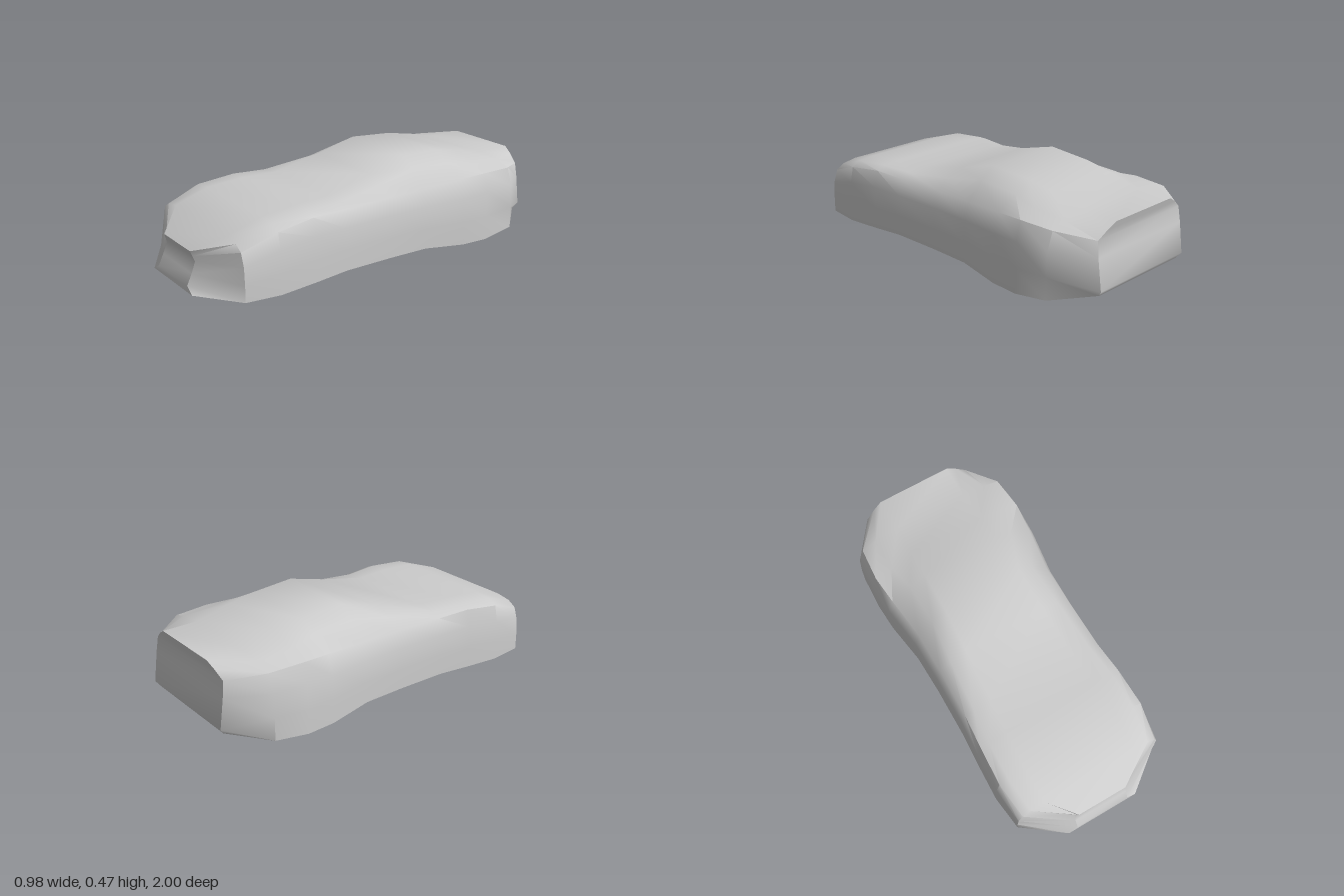
import * as THREE from 'three';
import { toCreasedNormals } from 'three/addons/utils/BufferGeometryUtils.js';

// Cross-sections of half the body, front to rear:
// z, roof edge x/y, window x/y, shoulder x/y, half width, sill y
const SECTIONS = [
  [0.83, 0.26, 0.275, 0.34, 0.262, 0.385, 0.235, 0.412, 0],
  [0.65, 0.265, 0.333, 0.36, 0.325, 0.41, 0.3, 0.433, 0],
  [0.45, 0.255, 0.35, 0.355, 0.345, 0.4, 0.325, 0.425, 0.01],
  [0.27, 0.24, 0.35, 0.335, 0.342, 0.385, 0.32, 0.414, 0.02],
  [0, 0.225, 0.41, 0.315, 0.375, 0.38, 0.325, 0.41, 0.02],
  [-0.22, 0.215, 0.47, 0.295, 0.415, 0.38, 0.325, 0.415, 0.02],
  [-0.45, 0.21, 0.455, 0.3, 0.405, 0.41, 0.345, 0.447, 0],
  [-0.6, 0.205, 0.43, 0.33, 0.385, 0.425, 0.355, 0.455, 0],
  [-0.78, 0.2, 0.39, 0.33, 0.375, 0.41, 0.35, 0.447, 0.025],
];

// End outlines, sill to top, as x, y, z
const NOSE = [
  [0.2, 0, 0.99], [0.15, 0.03, 0.988], [0.15, 0.085, 0.962],
  [0.147, 0.14, 0.94], [0.14, 0.165, 0.948], [0.135, 0.19, 0.957],
];
const TAIL = [
  [0.29, 0.055, -0.955], [0.306, 0.085, -0.978], [0.306, 0.24, -0.957],
  [0.3, 0.32, -0.946], [0.25, 0.36, -0.957], [0.2, 0.39, -0.966],
];

// Half outline from sill to roof edge
function halfRing([z, tx, ty, mx, my, sx, sy, w, by]) {
  const side = (t) => by + (sy - by) * t;
  return [[w, by, z], [w, side(0.35), z], [w - 0.005, side(0.72), z],
    [sx, sy, z], [mx, my, z], [tx, ty, z]];
}

const mirror = ([x, y, z]) => [-x, y, z];

// Surface through rows of points with equal counts
function skin(name, rows, material) {
  const n = rows[0].length;
  const index = [];
  for (let i = 0; i < rows.length - 1; i++) {
    for (let j = 0; j < n - 1; j++) {
      const a = i * n + j, b = a + n;
      index.push(a, b, a + 1, b, b + 1, a + 1);
    }
  }
  const geometry = new THREE.BufferGeometry();
  geometry.setAttribute('position', new THREE.Float32BufferAttribute(rows.flat(2), 3));
  geometry.setIndex(index);
  const mesh = new THREE.Mesh(toCreasedNormals(geometry, 0.9), material);
  mesh.name = name;
  return mesh;
}

export function createModel() {
  const material = new THREE.MeshStandardMaterial({ color: 0xcccccc });
  const halves = [NOSE, ...SECTIONS.map(halfRing), TAIL];

  // Sides, bonnet, cabin and rear deck in one smooth skin
  const shell = halves.map((h) => [...h, ...[...h].reverse().map(mirror)]);
  // Flat closing panels
  const nose = NOSE.map((p) => [p, mirror(p)]);
  const tail = [...TAIL].reverse().map((p) => [p, mirror(p)]);
  const floor = halves.map((h) => [mirror(h[0]), h[0]]);

  const body = new THREE.Group();
  body.name = 'carBody';
  body.add(
    skin('bodyShell', shell, material),
    skin('nosePanel', nose, material),
    skin('tailPanel', tail, material),
    skin('underside', floor, material),
  );
  // The body stands slightly turned
  body.rotation.y = -0.069;
  body.position.set(-0.012, 0, 0);

  const model = new THREE.Group();
  model.name = 'car';
  model.add(body);
  return model;
}
